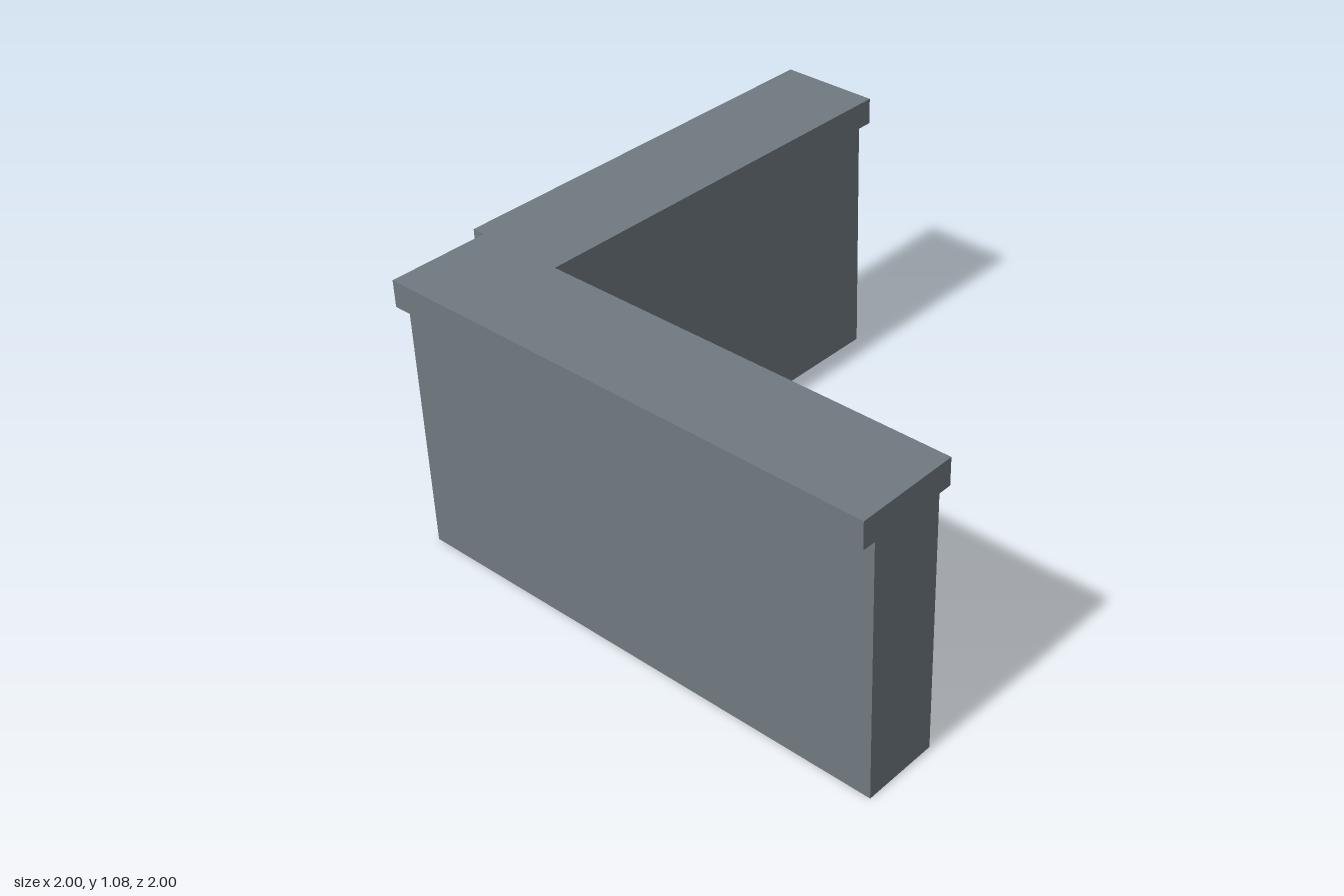
import * as THREE from 'three';

const stone = new THREE.MeshStandardMaterial({ color: 0x707980 });
stone.name = 'slate grey';

// Extrudes a plan outline of [x, z] points from y0 up to y1
function slab(name, plan, y0, y1) {
  const shape = new THREE.Shape(plan.map(([x, z]) => new THREE.Vector2(x, -z)));
  const geometry = new THREE.ExtrudeGeometry(shape, { depth: y1 - y0, bevelEnabled: false });
  geometry.rotateX(-Math.PI / 2).translate(0, y0, 0);
  const mesh = new THREE.Mesh(geometry, stone);
  mesh.name = name;
  return mesh;
}

export function createModel() {
  const group = new THREE.Group();
  group.name = 'cornerWall';

  // L-shaped wall body
  group.add(slab('wall', [
    [-0.95, 0.95], [1, 0.95], [1, 0.66], [-0.66, 0.66], [-0.66, -1], [-0.95, -1],
  ], 0, 0.98));

  // Overhanging coping, notched at the outer corner
  group.add(slab('coping', [
    [-0.95, 1], [1, 1], [1, 0.61], [-0.61, 0.61], [-0.61, -1], [-1, -1], [-1, 0.61], [-0.95, 0.61],
  ], 0.98, 1.08));

  return group;
}
